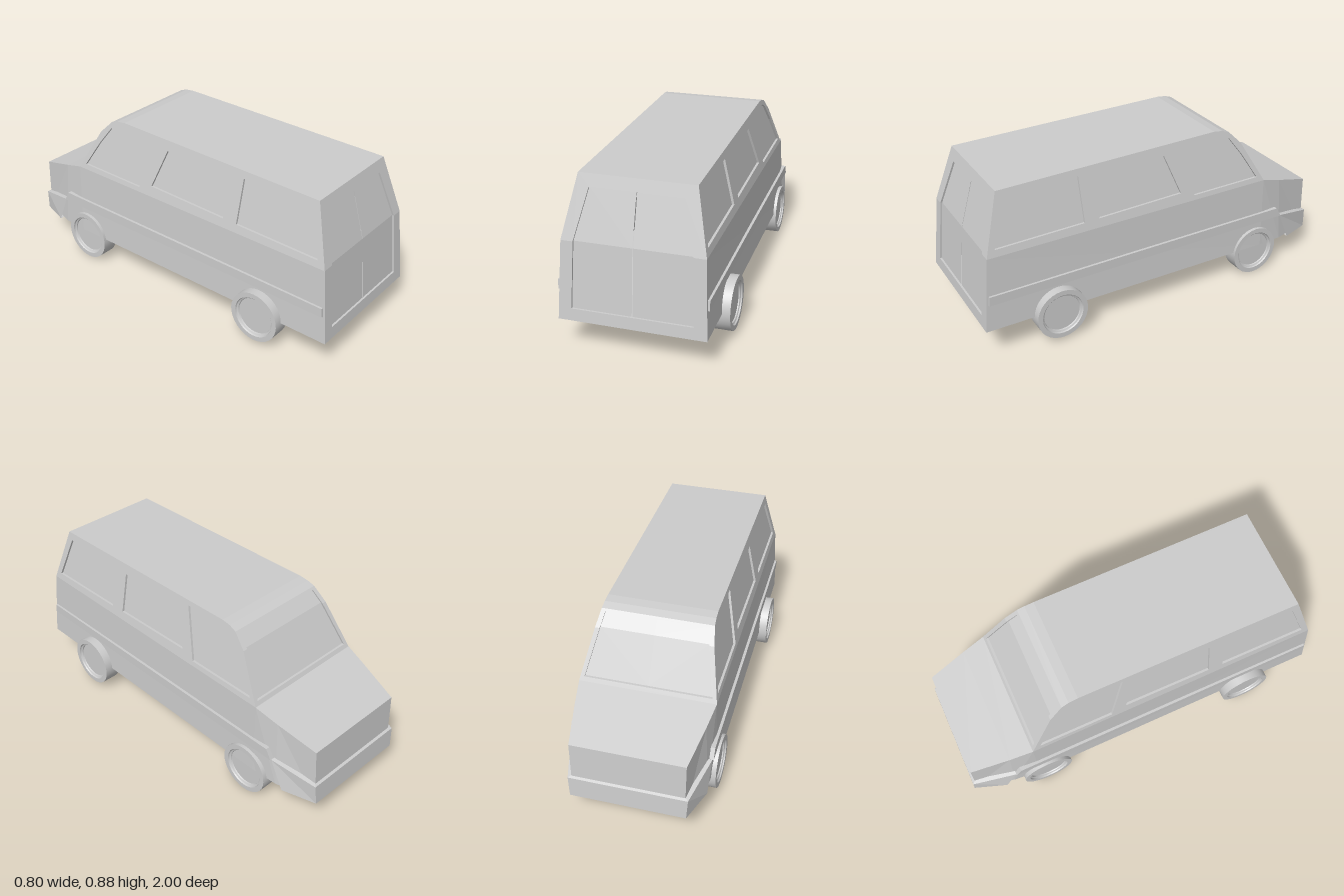
import * as THREE from 'three';
import { toCreasedNormals } from 'three/addons/utils/BufferGeometryUtils.js';

const flat = new THREE.MeshStandardMaterial({ color: 0xcccccc, flatShading: true, side: THREE.DoubleSide });
const smooth = new THREE.MeshStandardMaterial({ color: 0xcccccc, side: THREE.DoubleSide });

function add(parent, name, geometry, material = flat) {
  const mesh = new THREE.Mesh(geometry, material);
  mesh.name = name;
  parent.add(mesh);
  return mesh;
}

// Skin of quads over rows of [x, y, z] points
function skin(rows, closed = false) {
  const pos = [];
  for (let i = 0; i + 1 < rows.length; i++) {
    const n = rows[i].length;
    for (let j = 0; j < (closed ? n : n - 1); j++) {
      const k = (j + 1) % n;
      const [a, b, c, d] = [rows[i][j], rows[i][k], rows[i + 1][k], rows[i + 1][j]];
      pos.push(...a, ...b, ...c, ...a, ...c, ...d);
    }
  }
  const g = new THREE.BufferGeometry();
  g.setAttribute('position', new THREE.Float32BufferAttribute(pos, 3));
  g.computeVertexNormals();
  return g;
}

// Piecewise linear lookup in [input, output] pairs
function lerpAt(table, t) {
  let i = 0;
  while (i < table.length - 2 && t > table[i + 1][0]) i++;
  const [[a, va], [b, vb]] = [table[i], table[i + 1]];
  return va + (vb - va) * (t - a) / (b - a);
}

const sideX = y => 0.345 - 0.21 * (y - 0.555); // leaning upper side wall
const shapeOf = pts => new THREE.Shape(pts.map(p => new THREE.Vector2(...p)));

// Turn a drawing in (z, y) into a wall that leans with the upper side
function leanWall(geometry, inset) {
  const p = geometry.attributes.position;
  for (let i = 0; i < p.count; i++) {
    const [z, y, d] = [p.getX(i), p.getY(i), p.getZ(i)];
    p.setXYZ(i, sideX(y) - d - inset, y, z);
  }
  geometry.computeVertexNormals();
  return geometry;
}

// Bent end wall: frame around a recessed opening. Entries are [halfWidth, y], bottom to top
function endWall(parent, name, outer, inner, zTable, recess, split) {
  const loop = (pts, dz) => [
    ...pts.map(([x, y]) => [x, y, lerpAt(zTable, y) + dz]),
    ...[...pts].reverse().map(([x, y]) => [-x, y, lerpAt(zTable, y) + dz])];
  add(parent, name + 'Frame', skin([loop(outer, 0), loop(inner, 0), loop(inner, recess)], true));
  for (const s of [1, -1]) {
    const row = ([x, y]) => [[s * split, y, lerpAt(zTable, y) + recess], [s * x, y, lerpAt(zTable, y) + recess]];
    add(parent, name + (s > 0 ? 'Left' : 'Right'), skin(inner.map(row)));
  }
}

export function createModel() {
  const van = new THREE.Group();
  van.name = 'van';

  // Roof, rounding down to the windshield
  const roof = [[0.87, 0.86], [-0.34, 0.88], [-0.39, 0.874], [-0.43, 0.86]];
  add(van, 'roof', skin(roof.map(([z, y]) => [[sideX(y), y, z], [-sideX(y), y, z]])));

  // Rear wall with double doors, and windshield
  endWall(van, 'rearDoor',
    [[0.36, 0.165], [0.345, 0.555], [sideX(0.86), 0.86]],
    [[0.295, 0.225], [0.285, 0.555], [0.225, 0.8]],
    [[0.165, 1], [0.555, 0.96], [0.86, 0.87]], -0.01, 0.002);
  endWall(van, 'windshield',
    [[0.345, 0.555], [sideX(0.79), 0.79], [sideX(0.86), 0.86]],
    [[0.32, 0.575], [0.272, 0.79], [0.26, 0.85]],
    [[0.555, -0.635], [0.79, -0.5], [0.86, -0.43]], 0.012, 0);

  // Hood and nose
  const hood = [[0.345, 0.555, -0.635], [0.325, 0.515, -0.76], [0.285, 0.45, -0.97]];
  add(van, 'hood', skin(hood.map(([x, y, z]) => [[x, y, z], [-x, y, z]])));
  add(van, 'nose', skin([[[0.285, 0.45, -0.97], [-0.285, 0.45, -0.97]], [[0.28, 0.14, -0.985], [-0.28, 0.14, -0.985]]]));

  // Floor
  const sill = [[0.36, 0.165, 1], [0.355, 0.155, -0.635], [0.342, 0.15, -0.78], [0.28, 0.14, -0.985]];
  add(van, 'floor', skin(sill.map(([x, y, z]) => [[x, y, z], [-x, y, z]])));

  // Upper side outline and windows, in (z, y)
  const outline = [[0.96, 0.555], [0.87, 0.86], [-0.34, 0.88], [-0.39, 0.874], [-0.43, 0.86], [-0.5, 0.79], [-0.635, 0.555]];
  const windows = {
    rearWindow: [[0.915, 0.59], [0.84, 0.82], [0.45, 0.83], [0.445, 0.597]],
    middleWindow: [[0.365, 0.6], [0.37, 0.815], [-0.03, 0.822], [-0.11, 0.61]],
    frontWindow: [[-0.19, 0.58], [-0.105, 0.85], [-0.38, 0.85], [-0.43, 0.825], [-0.5, 0.73], [-0.59, 0.583]],
  };

  for (const s of [1, -1]) {
    const side = new THREE.Group();
    side.name = s > 0 ? 'leftSide' : 'rightSide';
    side.scale.x = s;
    van.add(side);

    const wall = shapeOf(outline);
    wall.holes = Object.values(windows).map(w => new THREE.Path(w.map(p => new THREE.Vector2(...p))));
    add(side, 'upperSide', leanWall(new THREE.ExtrudeGeometry(wall, { depth: 0.014, bevelEnabled: false }), 0));
    for (const [name, pts] of Object.entries(windows))
      add(side, name, leanWall(new THREE.ShapeGeometry(shapeOf(pts)), 0.012));

    add(side, 'lowerSide', skin([[[0.345, 0.555, 0.96], ...hood], sill]));

    // Rub strip
    const strip = shapeOf([[0.975, 0.31], [0.97, 0.358], [-0.73, 0.363], [-0.76, 0.31]]);
    const g = new THREE.ExtrudeGeometry(strip, { depth: 0.022, bevelEnabled: false });
    g.rotateY(-Math.PI / 2).scale(1, 1, 1).translate(0.364, 0, 0);
    add(side, 'rubStrip', g);
  }

  // Wrap-around front bumper: inner top, outer top, outer bottom, inner bottom
  const bumper = [
    [[0.33, 0.312, -0.76], [0.27, 0.262, -0.965]],
    [[0.357, 0.308, -0.76], [0.297, 0.25, -0.992]],
    [[0.352, 0.15, -0.83], [0.29, 0.14, -1]],
    [[0.325, 0.15, -0.83], [0.265, 0.14, -0.965]],
  ].map(([back, front]) => [back, front, [-front[0], front[1], front[2]], [-back[0], back[1], back[2]]]);
  add(van, 'frontBumper', skin([...bumper, bumper[0]]));

  // Wheels with dished hubs on both faces
  const half = [[0.137, 0.045], [0.111, 0.045], [0.108, 0.038], [0.1, 0.034], [0.098, 0.028], [0, 0.028]];
  const profile = [...half.map(([r, y]) => [r, -y]).reverse(), ...half].map(p => new THREE.Vector2(...p));
  const wheel = toCreasedNormals(new THREE.LatheGeometry(profile, 32).rotateZ(-Math.PI / 2), 0.5);
  for (const s of [1, -1]) {
    const label = s > 0 ? 'Left' : 'Right';
    add(van, 'rearWheel' + label, wheel, smooth).position.set(s * 0.355, 0.157, 0.61);
    add(van, 'frontWheel' + label, wheel, smooth).position.set(s * 0.325, 0.137, -0.59);
  }
  return van;
}
